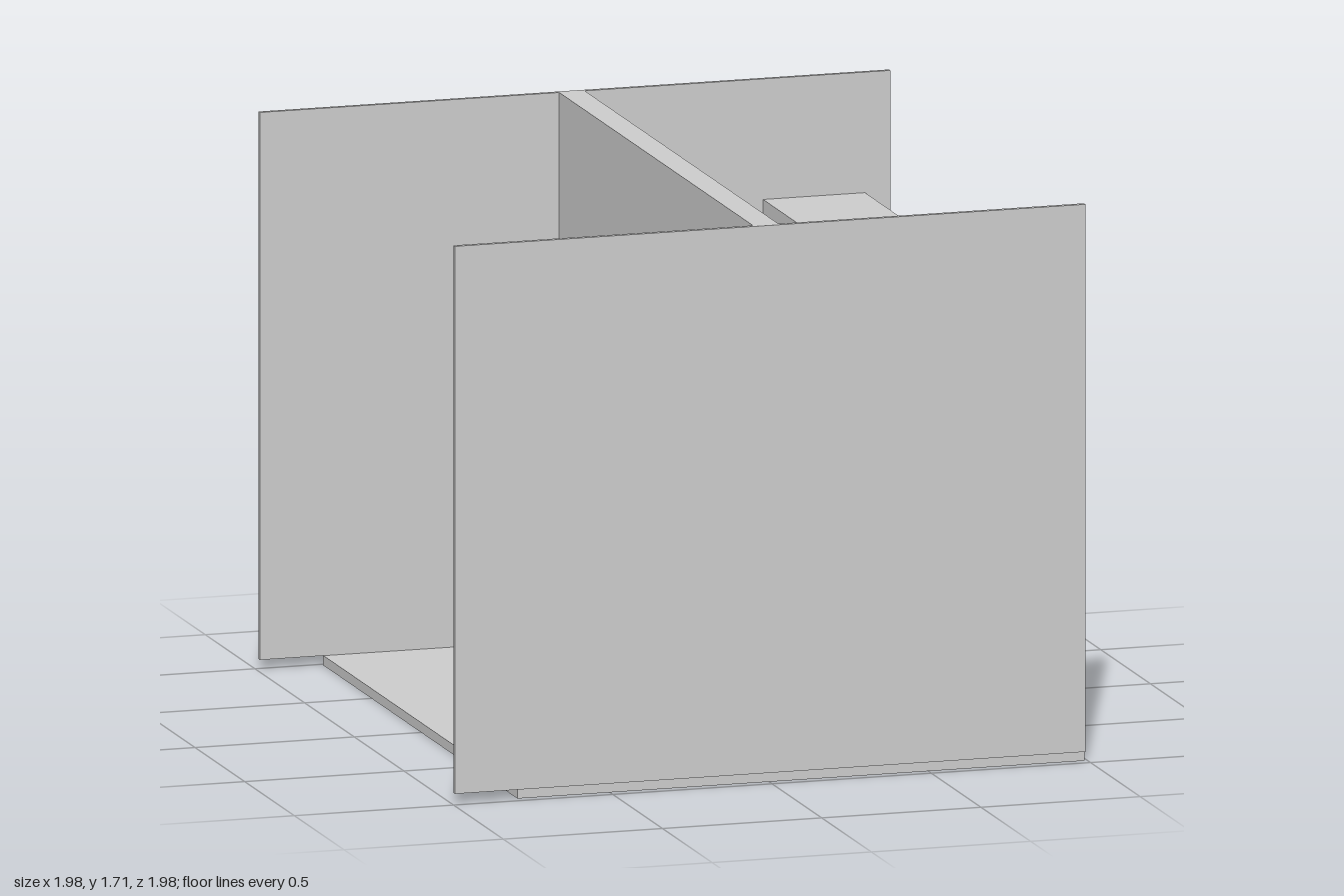
import * as THREE from 'three';
import { toCreasedNormals } from 'three/addons/utils/BufferGeometryUtils.js';

const grey = new THREE.MeshStandardMaterial({ color: 0xcccccc });

// Box given by its lower and upper corners
function box(name, [x0, y0, z0], [x1, y1, z1]) {
  const geo = new THREE.BoxGeometry(x1 - x0, y1 - y0, z1 - z0);
  geo.translate((x0 + x1) / 2, (y0 + y1) / 2, (z0 + z1) / 2);
  const mesh = new THREE.Mesh(geo, grey);
  mesh.name = name;
  return mesh;
}

// Side profile in [z, y] points, extruded along x from x0 to x1
function slab(name, outline, x0, x1, holes = []) {
  const toPoints = (list) => list.map(([z, y]) => new THREE.Vector2(-z, y));
  const shape = new THREE.Shape(toPoints(outline));
  for (const hole of holes) shape.holes.push(new THREE.Path(toPoints(hole)));
  const geo = new THREE.ExtrudeGeometry(shape, { depth: x1 - x0, bevelEnabled: false });
  geo.rotateY(Math.PI / 2).translate(x0, 0, 0);
  const mesh = new THREE.Mesh(toCreasedNormals(geo, 0.4), grey);
  mesh.name = name;
  return mesh;
}

// Points along a circular arc, angles in degrees
function arc(z, y, r, from, to, n = 16) {
  return Array.from({ length: n + 1 }, (_, i) => {
    const a = THREE.MathUtils.degToRad(from + (to - from) * i / n);
    return [z + r * Math.cos(a), y + r * Math.sin(a)];
  });
}

// Stepped line of n treads from [z0, y0], alternating tread and riser
function steps(n, z0, y0, tread, rise) {
  const pts = [];
  for (let i = 0; i < n; i++) {
    pts.push([z0 + i * tread, y0 + i * rise], [z0 + (i + 1) * tread, y0 + i * rise]);
  }
  return pts;
}

export function createModel() {
  const model = new THREE.Group();
  const ground = 0.03;

  // Floor and the two end panels
  model.add(box('floor', [-0.79, 0, -0.99], [0.99, ground, 0.97]));
  model.add(box('frontPanel', [-0.99, ground, 0.967], [0.99, 1.71, 0.982]));
  model.add(box('backPanel', [-0.99, ground, -0.997], [0.99, 1.71, -0.983]));

  // Tall dividing wall
  model.add(box('dividingWall', [-0.05, ground, -0.983], [0.03, 1.71, 0.967]));

  // Thick outer wall: slanted door, stepped arched opening and window
  const slantedDoor = [[0.73, ground], [0.295, 0.645], [0.295, ground]];
  const window = [[0.03, 0.95], [-0.11, 0.95], [-0.11, 1.215], [0.03, 1.015]];
  const wallRest = [[-0.365, ground], [-0.983, ground], [-0.983, 1.34], [0.967, 1.34], [0.967, ground]];
  const steppedOpening = [
    [-0.21, ground],
    ...steps(8, -0.21, 0.29, 0.0344, 0.0336),
    ...arc(-0.12, 0.605, 0.22, 37.7, 111),
  ];
  model.add(slab('outerWall', [...slantedDoor, ...steppedOpening, ...wallRest], 0.63, 0.91, [window]));

  // Inner skin of the outer wall, with a triangular doorway
  const triangleDoor = [[0.105, ground], [-0.135, 0.68]];
  model.add(slab('outerWallInnerSkin', [...slantedDoor, ...triangleDoor, ...wallRest], 0.59, 0.63, [window]));

  // Staircase beside the dividing wall, rising to the back over an arch
  const count = 15, tread = 0.054;
  const stairLine = steps(count, 0.95, ground + tread, -tread, tread);
  model.add(slab('staircase', [
    [0.95, ground], ...stairLine, [0.95 - count * tread, ground],
    [0.28, ground], ...arc(0.47, 0.115, 0.19, 0, 180).reverse(), [0.66, ground],
  ], 0.04, 0.37));

  // Free-standing round-topped door slab
  model.add(slab('archedDoor', [
    [0.21, ground], ...arc(0.045, 0.125, 0.165, 0, 180), [-0.12, ground],
  ], 0.47, 0.52));

  return model;
}
